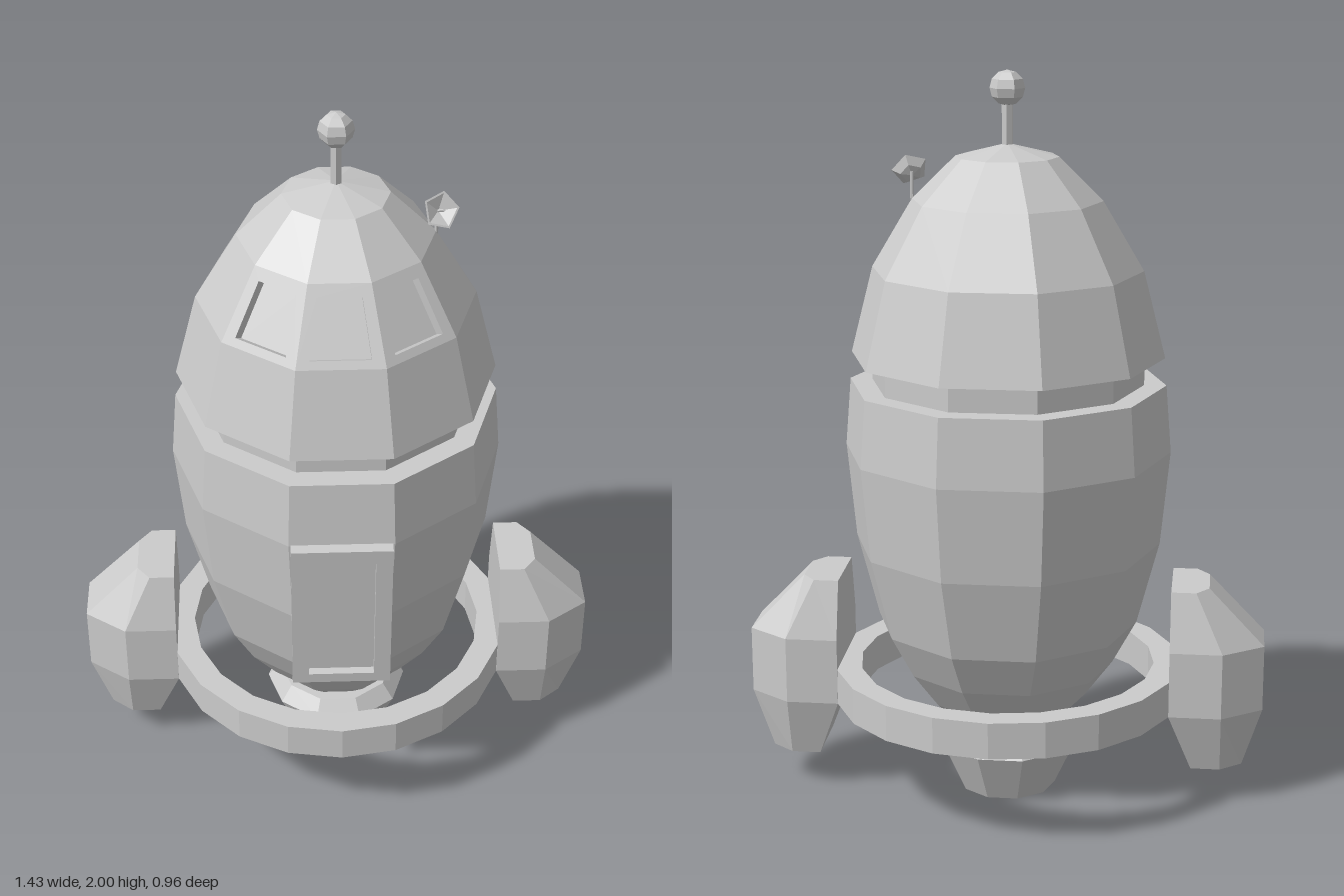
import * as THREE from 'three';

const material = new THREE.MeshStandardMaterial({ color: 0xcccccc, flatShading: true, side: THREE.DoubleSide });

function add(parent, name, geometry, x = 0, y = 0, z = 0) {
  const mesh = new THREE.Mesh(geometry, material);
  mesh.name = name;
  mesh.position.set(x, y, z);
  parent.add(mesh);
  return mesh;
}

// Faceted solid of revolution: a flat facet faces +z, profile runs bottom to top
function facets(profile, sides = 10, first = 0.5, count = sides) {
  const step = (Math.PI * 2) / sides;
  const points = profile.map(([r, y]) => new THREE.Vector2(r, y));
  return new THREE.LatheGeometry(points, count, first * step, count * step);
}

// Trapezoid outline from y0 (half width w0) to y1 (half width w1)
function trapezoid(w0, y0, w1, y1, Type = THREE.Shape) {
  return new Type([[-w0, y0], [w0, y0], [w1, y1], [-w1, y1]].map(p => new THREE.Vector2(...p)));
}

// Plate with an opening, its outer surface on z = 0
function framePlate(outer, hole, depth) {
  outer.holes.push(hole);
  return new THREE.ExtrudeGeometry(outer, { depth, bevelEnabled: false }).translate(0, 0, -depth);
}

// Solid through six-cornered sections [y, sideX, sideZ, outerX, outerZ, innerX]
function podGeometry(sections) {
  const positions = [], index = [], n = 6;
  for (const [y, sx, sz, ox, oz, ix] of sections) {
    positions.push(ix, y, sz, sx, y, sz, ox, y, oz, ox, y, -oz, sx, y, -sz, ix, y, -sz);
  }
  const top = (sections.length - 1) * n;
  for (let s = 0; s < top; s += n) {
    for (let i = 0; i < n; i++) {
      const a = s + i, b = s + (i + 1) % n;
      index.push(a, b, a + n, b, b + n, a + n);
    }
  }
  for (let i = 1; i < n - 1; i++) index.push(0, i + 1, i, top, top + i, top + i + 1);
  const geometry = new THREE.BufferGeometry();
  geometry.setAttribute('position', new THREE.Float32BufferAttribute(positions, 3));
  geometry.setIndex(index);
  geometry.computeVertexNormals();
  return geometry;
}

export function createModel() {
  const model = new THREE.Group();
  model.name = 'rocket';

  // Hull, neck and engine nozzle
  add(model, 'hull', facets([[0, 0.18], [0.13, 0.18], [0.22, 0.27], [0.295, 0.37], [0.36, 0.49], [0.42, 0.72],
    [0.445, 0.98], [0.43, 1.165], [0.37, 1.165]]));
  add(model, 'neck', facets([[0.37, 1.165], [0.37, 1.24]]));
  add(model, 'nozzle', facets([[0, 0], [0.135, 0], [0.2, 0.14], [0.165, 0.185], [0, 0.185]]));

  // Nose, with its window band left open over the three front facets
  const low = [0.365, 1.475], high = [0.255, 1.66];
  add(model, 'noseBase', facets([[0.36, 1.24], [0.425, 1.24], low]));
  add(model, 'noseBand', facets([low, high], 10, 1.5, 7));
  add(model, 'noseTip', facets([high, [0.138, 1.775], [0, 1.81]]));

  // Window panels fill the open facets
  const flat = Math.cos(Math.PI / 10), half = Math.sin(Math.PI / 10);
  const run = (low[0] - high[0]) * flat, rise = high[1] - low[1];
  const slope = Math.hypot(run, rise);
  for (const side of [-1, 0, 1]) {
    const holder = new THREE.Group();
    holder.name = 'window';
    holder.rotation.y = side * Math.PI / 5;
    const tilted = new THREE.Group();
    tilted.position.set(0, low[1], low[0] * flat);
    tilted.rotation.x = -Math.atan2(run, rise);
    const outer = trapezoid(low[0] * half, 0, high[0] * half, slope);
    const hole = trapezoid(0.077, 0.023, 0.056, 0.178, THREE.Path);
    add(tilted, 'windowFrame', framePlate(outer, hole, 0.03));
    add(tilted, 'windowPane', new THREE.ShapeGeometry(trapezoid(0.085, 0.01, 0.06, 0.19)), 0, 0, -0.028);
    holder.add(tilted);
    model.add(holder);
  }

  // Door, leaning with the hull
  const door = new THREE.Group();
  door.name = 'door';
  door.position.set(0, 0.49, 0.41);
  door.rotation.x = Math.atan2(0.042, 0.49);
  add(door, 'doorFrame', framePlate(trapezoid(0.132, 0, 0.132, 0.492),
    trapezoid(0.088, 0.032, 0.088, 0.448, THREE.Path), 0.06));
  add(door, 'doorPanel', new THREE.BoxGeometry(0.19, 0.43, 0.03), 0, 0.24, -0.037);
  model.add(door);

  // Ring carrying the two side pods
  add(model, 'ring', facets([[0.41, 0.27], [0.48, 0.27], [0.48, 0.37], [0.41, 0.37], [0.41, 0.27]], 20, 0));
  const pod = podGeometry([
    [0.1, 0.6, 0.097, 0.66, 0.05, 0.52],
    [0.27, 0.6, 0.148, 0.713, 0.068, 0.457],
    [0.455, 0.6, 0.148, 0.713, 0.068, 0.457],
    [0.615, 0.525, 0.105, 0.56, 0.06, 0.457],
  ]);
  add(model, 'leftPod', pod);
  add(model, 'rightPod', pod).rotation.y = Math.PI;

  // Antenna
  add(model, 'antennaMast', new THREE.CylinderGeometry(0.016, 0.016, 0.14, 6), 0, 1.86, 0);
  add(model, 'antennaBall', new THREE.SphereGeometry(0.047, 6, 6), 0, 1.953, 0);

  // Small dish on a thin post, aimed forward and up
  add(model, 'dishPost', new THREE.CylinderGeometry(0.005, 0.005, 0.11, 5), 0.255, 1.675, 0);
  const dish = new THREE.Group();
  dish.name = 'dish';
  dish.position.set(0.255, 1.72, 0.005);
  dish.quaternion.setFromUnitVectors(new THREE.Vector3(0, 1, 0), new THREE.Vector3(0.3, 0.5, 0.8).normalize());
  add(dish, 'dishBowl', facets([[0, 0], [0.03, 0.008], [0.05, 0.028], [0.044, 0.028], [0, 0.008]], 5));
  add(dish, 'dishFeed', new THREE.CylinderGeometry(0.004, 0.004, 0.045, 5), 0, 0.025, 0);
  model.add(dish);

  return model;
}
